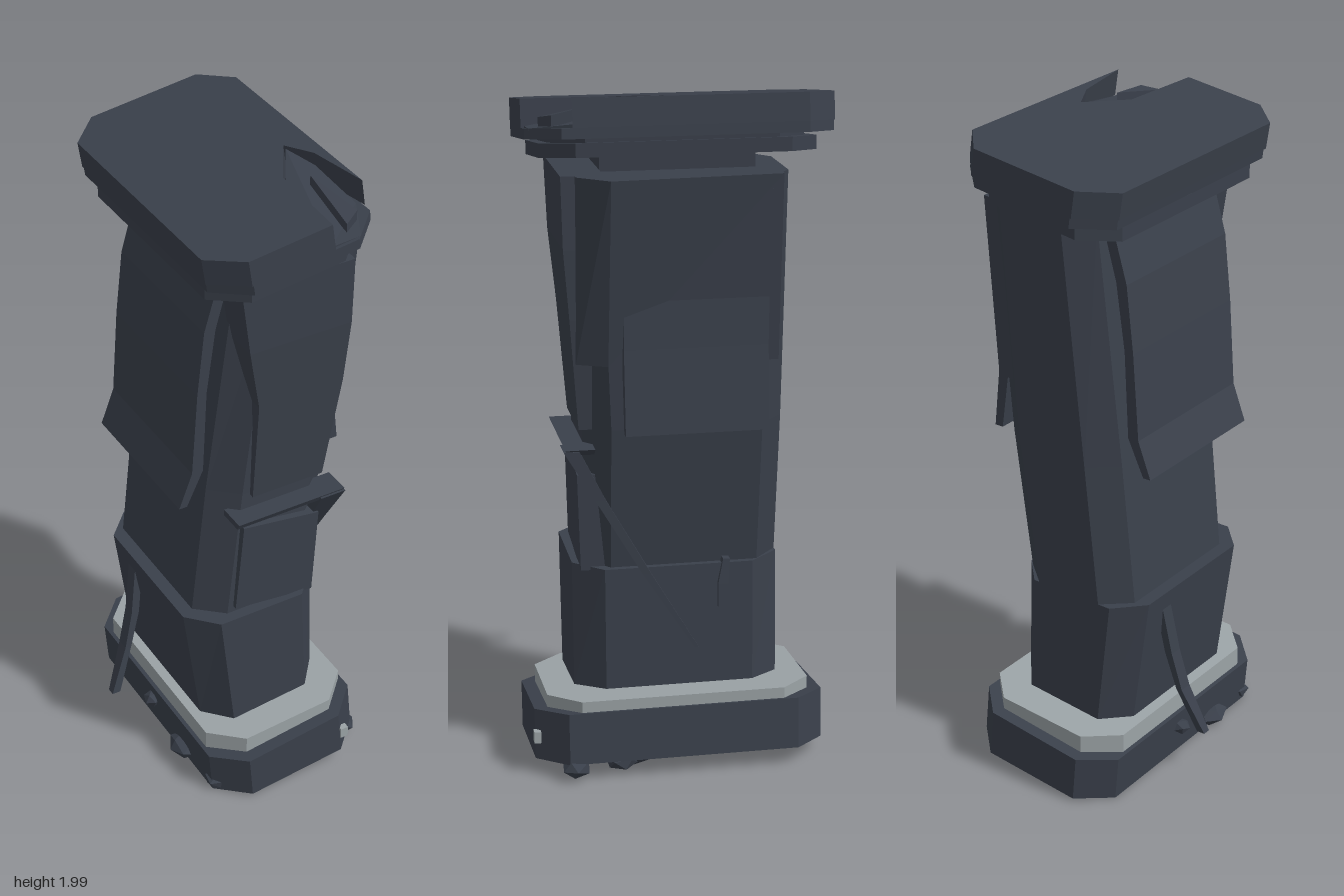
import * as THREE from 'three';

const mat = (name, color) => {
  const m = new THREE.MeshStandardMaterial({ color });
  m.name = name;
  return m;
};

// Octagonal slice: counter-clockwise seen from above, height sloping along x
function oct(y, x0, x1, z0, z1, cx, cz, slope = 0) {
  return [[x1, z1 - cz], [x1, z0 + cz], [x1 - cx, z0], [x0 + cx, z0],
    [x0, z0 + cz], [x0, z1 - cz], [x0 + cx, z1], [x1 - cx, z1]]
    .map(([x, z]) => [x, y + slope * x, z]);
}

// Four-sided slice
const quad = (y, x0, x1, z0, z1, slope = 0) =>
  [[x1, z1], [x1, z0], [x0, z0], [x0, z1]].map(([x, z]) => [x, y + slope * x, z]);

// Flat-shaded solid through slices ordered from bottom to top
function loft(rings) {
  const pos = [];
  const tri = (a, b, c) => pos.push(...a, ...b, ...c);
  const n = rings[0].length;
  for (let r = 0; r < rings.length - 1; r++) {
    for (let i = 0; i < n; i++) {
      const j = (i + 1) % n, lo = rings[r], hi = rings[r + 1];
      tri(lo[i], lo[j], hi[j]);
      tri(lo[i], hi[j], hi[i]);
    }
  }
  const cap = (ring, up) => {
    const flat = ring.map(p => new THREE.Vector2(p[0], -p[2]));
    for (const [a, b, c] of THREE.ShapeUtils.triangulateShape(flat, [])) {
      if (up) tri(ring[a], ring[b], ring[c]);
      else tri(ring[a], ring[c], ring[b]);
    }
  };
  cap(rings[0], false);
  cap(rings[rings.length - 1], true);
  const g = new THREE.BufferGeometry();
  g.setAttribute('position', new THREE.Float32BufferAttribute(pos, 3));
  g.computeVertexNormals();
  return g;
}

export function createModel() {
  const group = new THREE.Group();
  const dark = mat('dark slate', 0x3a404b);
  const pale = mat('pale metal', 0x9ba3a6);
  const add = (name, geometry, material = dark) => {
    const mesh = new THREE.Mesh(geometry, material);
    mesh.name = name;
    group.add(mesh);
    return mesh;
  };
  const T = 0.135; // tilt of the end plates

  // Bottom plate and pale collar
  add('basePlate', loft([
    oct(0.035, -0.2, 0.295, -0.43, 0.43, 0.09, 0.09, 0.11),
    oct(0.182, -0.212, 0.28, -0.43, 0.43, 0.09, 0.09, T)]));
  add('baseCollar', loft([
    oct(0.17, -0.2, 0.27, -0.39, 0.39, 0.09, 0.09, 0.1),
    oct(0.23, -0.2, 0.27, -0.39, 0.39, 0.09, 0.09, 0.08)]), pale);

  // Broken lower sleeve
  add('lowerSleeve', loft([
    oct(0.243, -0.175, 0.215, -0.3, 0.305, 0.07, 0.085, 0.1),
    oct(0.63, -0.23, 0.205, -0.3, 0.305, 0.08, 0.085)]));
  add('lowerPin', loft([quad(0.2, 0.12, 0.15, 0.2, 0.23), quad(0.3, 0.12, 0.15, 0.2, 0.23)]));

  // Leaning core
  add('core', loft([
    oct(0.58, -0.195, 0.18, -0.3, 0.27, 0.08, 0.07),
    oct(1.06, -0.145, 0.245, -0.3, 0.275, 0.08, 0.07),
    oct(1.78, -0.07, 0.3, -0.3, 0.3, 0.08, 0.06)]));
  add('neck', loft([quad(1.76, -0.08, 0.16, -0.22, 0.22), quad(1.81, -0.08, 0.16, -0.22, 0.22, T)]));

  // Front shell, blending into the core at its lower end
  add('frontShell', loft([
    quad(1.05, -0.04, 0.19, 0.2, 0.29),
    quad(1.38, -0.04, 0.23, 0.22, 0.318),
    quad(1.58, -0.08, 0.24, 0.22, 0.335),
    quad(1.785, -0.11, 0.24, 0.22, 0.34)]));

  // Side shell leaning out at the top
  const sideRing = (y, back, front, inner) => [
    [front, y, 0.215], [back, y, -0.27], [inner, y, -0.28], [inner, y, 0.3], [inner + 0.04, y, 0.3]];
  add('sideShell', loft([sideRing(1.25, 0.262, 0.262, 0.18), sideRing(1.785, 0.3, 0.335, 0.22)]));

  // Flaring loose panels on both flanks
  add('rightFlarePanel', loft([
    quad(1.06, 0.285, 0.312, -0.235, 0.175),
    quad(1.3, 0.25, 0.286, -0.235, 0.175),
    quad(1.5, 0.23, 0.27, -0.24, 0.17)]));
  add('leftFlarePanel', loft([
    quad(1.05, -0.247, -0.222, -0.235, 0.235),
    quad(1.16, -0.205, -0.17, -0.235, 0.235),
    quad(1.42, -0.187, -0.158, -0.235, 0.235),
    quad(1.62, -0.165, -0.13, -0.235, 0.235),
    quad(1.78, -0.118, -0.085, -0.235, 0.235)]));

  // Plate below the front strap
  add('frontPlate', loft([
    quad(0.64, -0.09, 0.17, 0.2, 0.285, -0.12),
    quad(0.94, -0.07, 0.18, 0.2, 0.295, -0.15)]));

  // Strap across the front and down the side
  add('frontStrap', loft([
    quad(0.985, -0.11, 0.22, 0.25, 0.325),
    quad(1.005, -0.11, 0.24, 0.25, 0.335)]));
  add('sideStrap', loft([
    quad(0.38, 0.18, 0.225, -0.052, -0.04),
    quad(0.62, 0.18, 0.228, 0.09, 0.115),
    quad(0.85, 0.17, 0.235, 0.22, 0.25),
    quad(1.0, 0.16, 0.24, 0.295, 0.34)]));

  // Hanging splinters
  add('leftSplinter', loft([
    quad(0.15, -0.335, -0.308, -0.075, -0.05),
    quad(0.3, -0.275, -0.255, -0.11, -0.07),
    quad(0.42, -0.245, -0.22, -0.12, -0.08),
    quad(0.62, -0.215, -0.19, -0.14, -0.1)]));
  add('rightSplinter', loft([
    quad(0.5, 0.2, 0.222, -0.125, -0.11),
    quad(0.57, 0.19, 0.22, -0.14, -0.11),
    quad(0.645, 0.17, 0.215, -0.145, -0.125)]));

  // Top collar
  add('topCollar', loft([
    oct(1.803, -0.2, 0.265, -0.39, 0.39, 0.09, 0.09, T),
    oct(1.843, -0.2, 0.265, -0.39, 0.39, 0.09, 0.09, T)]));
  add('topSpacer', loft([
    oct(1.835, -0.17, 0.24, -0.36, 0.36, 0.09, 0.09, T),
    oct(1.87, -0.17, 0.24, -0.36, 0.36, 0.09, 0.09, T)]));

  // Cap with a gouge broken out of the front corner
  const gouged = (y, dx) => [[0.27, 0.31], [0.27, -0.345], [0.19, -0.435], [-0.145, -0.435],
    [-0.235, -0.345], [-0.235, 0.345], [-0.145, 0.43], [0.105, 0.43], [0.115, 0.165],
    [0.195, 0.035], [0.24, 0.12]].map(([x, z]) => [x + dx, y + T * (x + dx), z]);
  add('capLower', loft([
    oct(1.855, -0.215, 0.282, -0.435, 0.43, 0.09, 0.09, T),
    oct(1.885, -0.219, 0.279, -0.435, 0.43, 0.09, 0.09, T)]));
  add('capUpper', loft([gouged(1.885, 0.012), gouged(1.965, 0)]));
  // Sloping floor and ridge inside the gouge
  const wedge = (name, pts) => {
    const low = pts.map(([x, , z]) => [x, 1.87 + T * x, z]);
    add(name, loft([low, pts.map(([x, h, z]) => [x, 1.885 + h + T * x, z])]));
  };
  wedge('gougeFloor', [[0.26, 0.01, 0.3], [0.245, 0.04, 0.12], [0.2, 0.07, 0.04],
    [0.12, 0.04, 0.17], [0.11, 0.005, 0.42], [0.2, 0.0, 0.42]]);
  wedge('gougeRidge', [[0.225, 0.035, 0.36], [0.185, 0.07, 0.19], [0.175, 0.03, 0.39]]);

  // Rubble stuck to the bottom plate
  [[0.16, 0.045, 0.14, 0.1, 0.035, 0.09], [0.23, 0.045, 0.18, 0.05, 0.03, 0.05],
    [0.275, 0.05, 0.32, 0.042, 0.03, 0.045], [-0.2, 0.045, 0.16, 0.045, 0.03, 0.06],
    [-0.17, 0.04, 0.33, 0.05, 0.025, 0.04], [-0.21, 0.1, -0.02, 0.03, 0.025, 0.03]]
    .forEach(([x, y, z, sx, sy, sz], i) => {
      const g = new THREE.IcosahedronGeometry(1, 0);
      g.rotateY(i * 1.3).rotateX(i * 0.7).scale(sx, sy, sz);
      g.computeVertexNormals();
      add('rubble', g).position.set(x, y, z);
    });
  const chip = add('paleChip', new THREE.BoxGeometry(0.025, 0.035, 0.02), pale);
  chip.position.set(0.212, 0.13, 0.425);

  return group;
}
